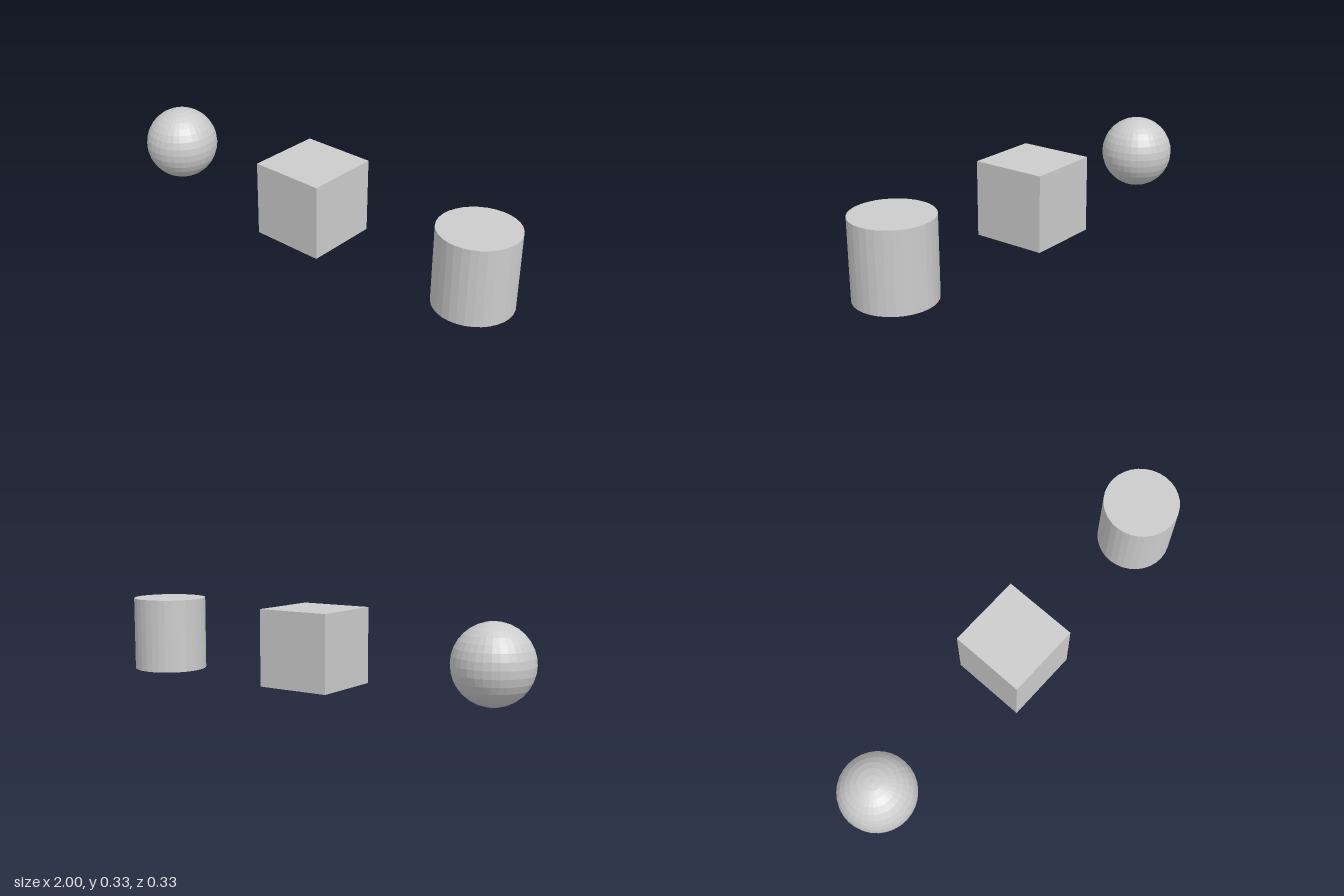
import * as THREE from 'three';

export function createModel() {
  const model = new THREE.Group();
  const size = 1 / 3;
  const radius = size / 2;
  const spacing = 5 / 6;
  const material = new THREE.MeshStandardMaterial({ color: 0xcccccc, flatShading: true });

  // Each solid rests on the ground
  const addSolid = (name, geometry, x) => {
    const mesh = new THREE.Mesh(geometry, material);
    mesh.name = name;
    mesh.position.set(x, radius, 0);
    model.add(mesh);
  };

  // Three solids of equal size in a row
  addSolid('sphere', new THREE.SphereGeometry(radius, 32, 16), -spacing);
  addSolid('cube', new THREE.BoxGeometry(size, size, size), 0);
  addSolid('cylinder', new THREE.CylinderGeometry(radius, radius, size, 32), spacing);

  return model;
}
